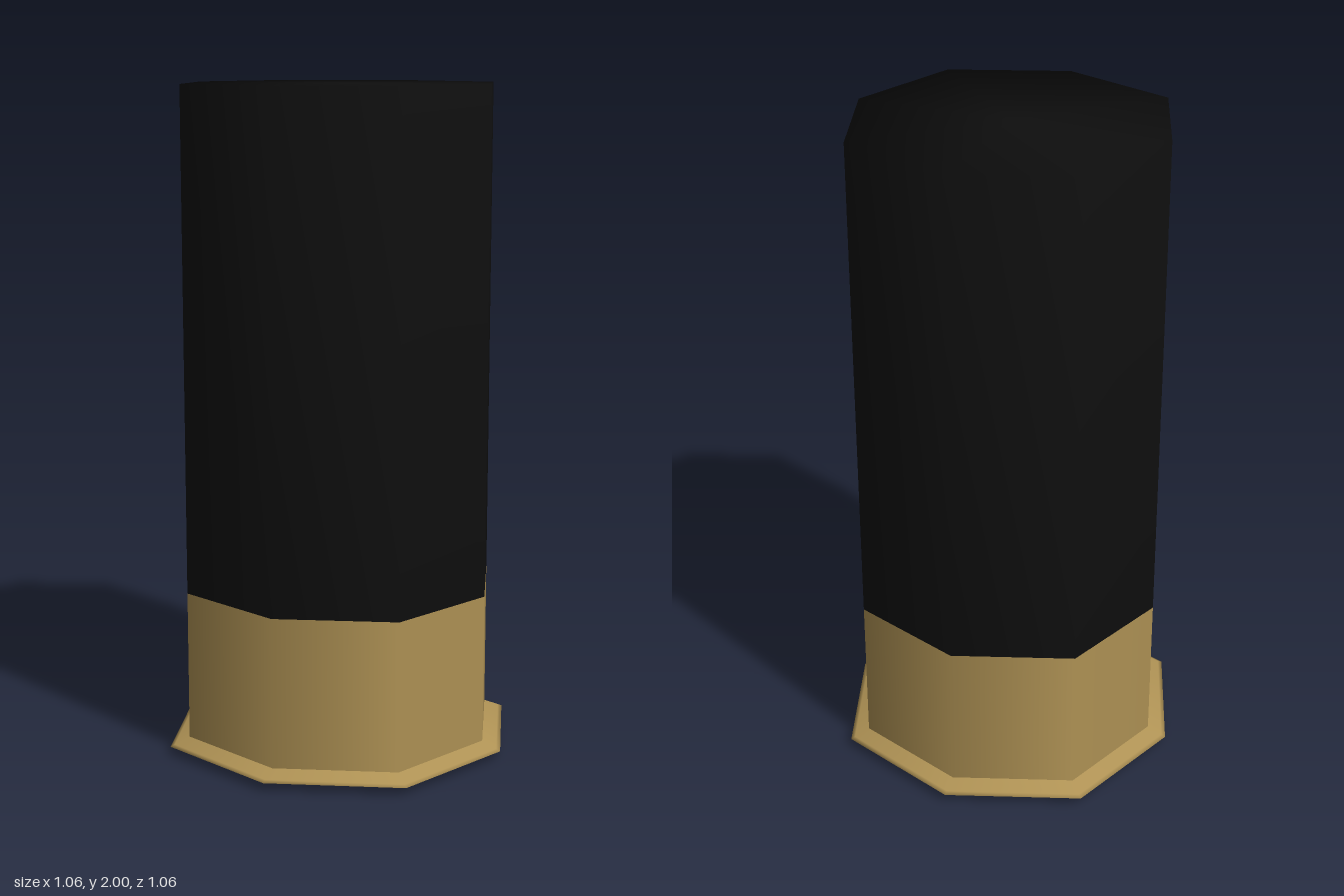
import * as THREE from 'three';

const SIDES = 8;
const DIAGONAL = 1.038; // the diagonal corners sit slightly further out

// Smooth eight-sided solid from a [radius, height] profile, listed bottom to top
function octagonalLathe(profile, material, name) {
  const points = profile.map(([r, y]) => new THREE.Vector2(r, y));
  const geometry = new THREE.LatheGeometry(points, SIDES);
  const pos = geometry.attributes.position;
  for (let i = 0; i < pos.count; i++) {
    const spoke = Math.floor(i / points.length);
    if (spoke % 2 === 1) {
      pos.setX(i, pos.getX(i) * DIAGONAL);
      pos.setZ(i, pos.getZ(i) * DIAGONAL);
    }
  }
  const mesh = new THREE.Mesh(geometry, material);
  mesh.name = name;
  return mesh;
}

export function createModel() {
  const black = new THREE.MeshStandardMaterial({ color: 0x0e0e0e });
  black.name = 'black plastic';
  const brass = new THREE.MeshStandardMaterial({ color: 0xb09355 });
  brass.name = 'brass';

  const model = new THREE.Group();
  model.name = 'cartridge';

  // Black tube with a flat closed top
  model.add(octagonalLathe([[0.47, 0.5], [0.47, 2], [0, 2]], black, 'tube'));

  // Brass base wall
  model.add(octagonalLathe([[0.47, 0.045], [0.47, 0.5]], brass, 'baseWall'));

  // Flared rim: flat underside, thin edge, sloping top
  model.add(octagonalLathe(
    [[0.43, 0.02], [0.515, 0.02], [0.528, 0.025], [0.515, 0.031], [0.47, 0.05]], brass, 'rim'));

  // Raised plate under the base
  model.add(octagonalLathe([[0, 0.004], [0.385, 0.004], [0.4, 0], [0.43, 0.02]], brass, 'basePlate'));

  return model;
}
